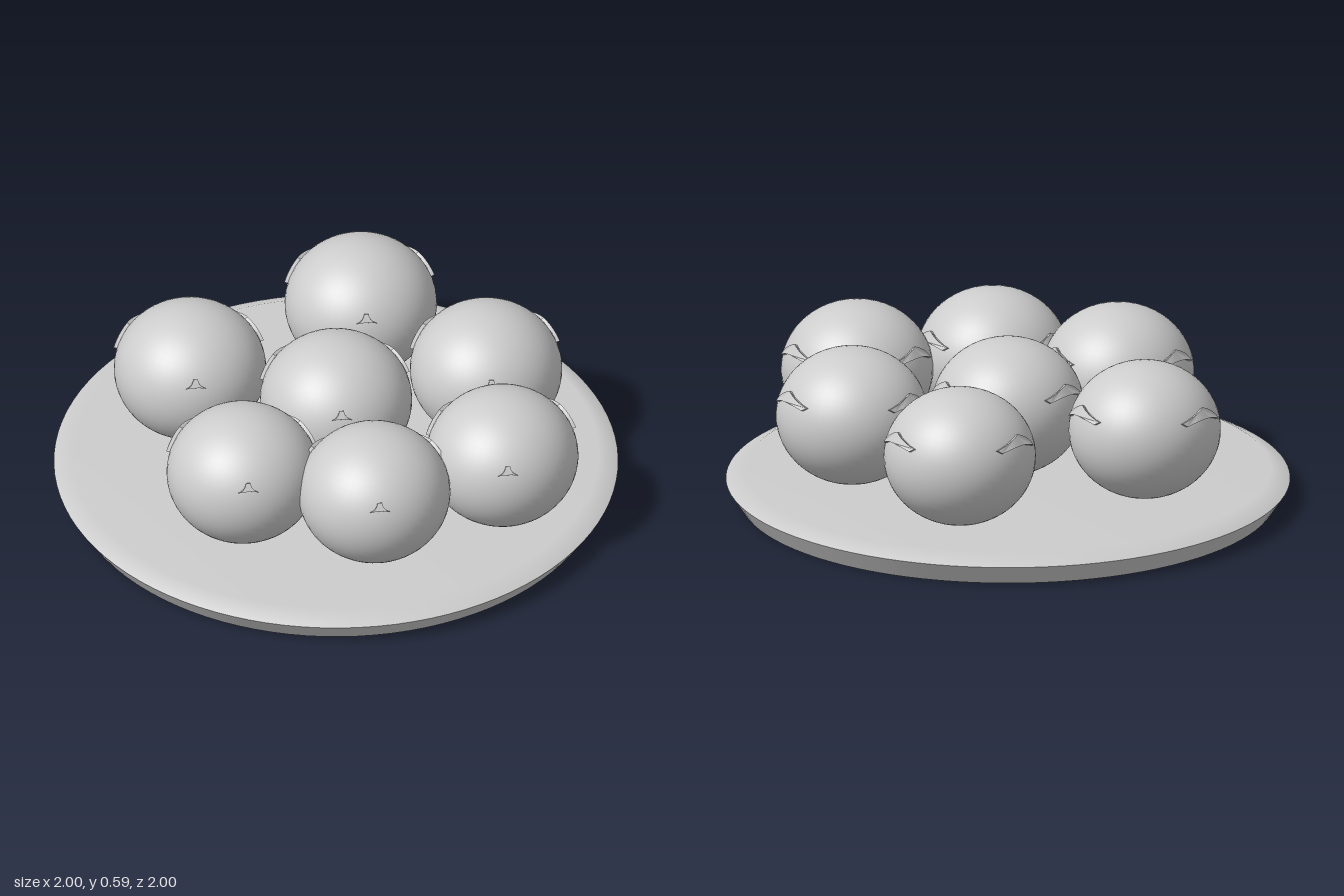
import * as THREE from 'three';
import { toCreasedNormals } from 'three/addons/utils/BufferGeometryUtils.js';

const RX = 0.27, RY = 0.245, CENTRE_Y = 0.345;

// Extrudes a flat outline and wraps it onto the bun; place(u, v, r) gives the surface point
function relief(shape, raise, place) {
  const geo = new THREE.ExtrudeGeometry(shape, { depth: 1, bevelEnabled: false, curveSegments: 8 });
  const p = geo.attributes.position;
  for (let i = 0; i < p.count; i++) {
    const u = p.getX(i), v = p.getY(i);
    const r = RX * Math.sqrt(Math.max(0, 1 - (u / RX) ** 2 - (v / RY) ** 2));
    const k = p.getZ(i) > 0.5 ? 1 + raise : 0.94;
    const [x, y, z] = place(u, v, r);
    p.setXYZ(i, x * k, y * k, z * k);
  }
  return toCreasedNormals(geo, 0.6);
}

// Swept ear, wide at the front and tapering to the back
function earGeometry(side) {
  const u = (z) => -side * z;
  const s = new THREE.Shape();
  s.moveTo(u(-0.055), 0.062);
  s.quadraticCurveTo(u(-0.075), 0.1, u(-0.115), 0.12);
  s.quadraticCurveTo(u(-0.16), 0.107, u(-0.207), 0.09);
  s.lineTo(u(-0.2), 0.078);
  s.quadraticCurveTo(u(-0.12), 0.098, u(-0.055), 0.062);
  return relief(s, 0.045, (a, v, r) => [side * r, v, -side * a]);
}

// Small peaked nose
function noseGeometry() {
  const s = new THREE.Shape();
  s.moveTo(-0.035, 0.092);
  s.quadraticCurveTo(-0.012, 0.1, -0.008, 0.122);
  s.lineTo(0.008, 0.122);
  s.quadraticCurveTo(0.012, 0.1, 0.035, 0.092);
  s.quadraticCurveTo(0, 0.1, -0.035, 0.092);
  return relief(s, 0.03, (a, v, r) => [a, v, r]);
}

export function createModel() {
  const model = new THREE.Group();
  const grey = new THREE.MeshStandardMaterial({ color: 0xcccccc });
  grey.name = 'plain grey';

  const add = (parent, geo, name) => {
    const mesh = new THREE.Mesh(geo, grey);
    mesh.name = name;
    parent.add(mesh);
    return mesh;
  };
  const lathe = (pts) => new THREE.LatheGeometry(pts.map(([x, y]) => new THREE.Vector2(x, y)), 96);

  // Plate: flat base, flared side, softly rounded top
  const plate = new THREE.Group();
  plate.name = 'plate';
  add(plate, lathe([[0, 0], [0.95, 0]]), 'plateBase');
  add(plate, lathe([[0.95, 0], [1, 0.075]]), 'plateSide');
  add(plate, lathe([[1, 0.075], [0.93, 0.11], [0, 0.11]]), 'plateTop');
  model.add(plate);

  // Buns: slightly flattened balls with two ears and a nose
  const body = new THREE.SphereGeometry(1, 48, 32).scale(RX, RY, RX);
  const leftEar = earGeometry(1), rightEar = earGeometry(-1), nose = noseGeometry();
  const spots = [
    [0, 0], [0.135, -0.57], [-0.5, -0.23], [0.545, -0.14],
    [-0.365, 0.405], [0.09, 0.56], [0.56, 0.38],
  ];
  for (const [x, z] of spots) {
    const bun = new THREE.Group();
    bun.name = 'bun';
    add(bun, body, 'bunBody');
    add(bun, leftEar, 'leftEar');
    add(bun, rightEar, 'rightEar');
    add(bun, nose, 'nose');
    bun.position.set(x, CENTRE_Y, z);
    model.add(bun);
  }
  return model;
}
